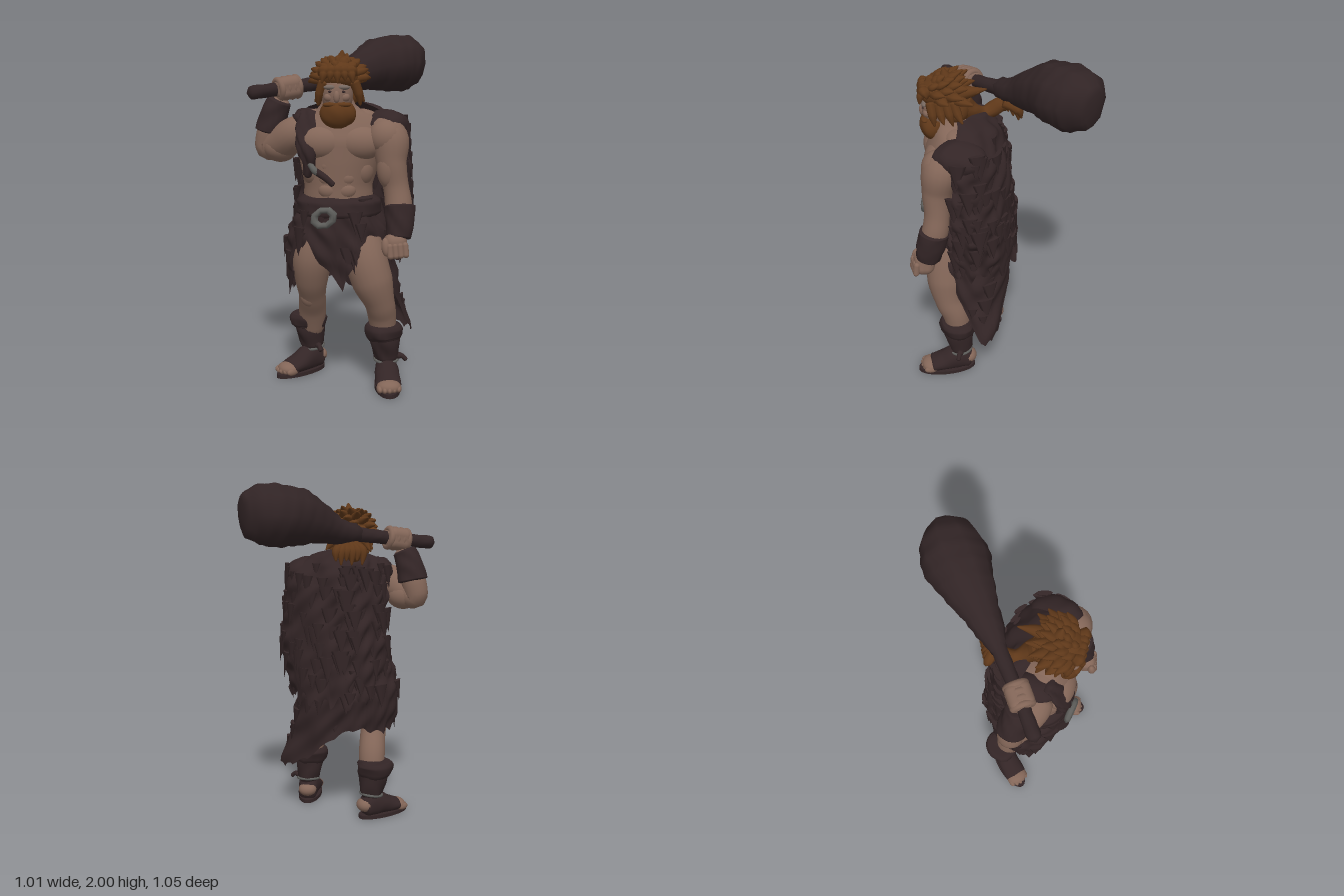
import * as THREE from 'three';
import { mergeGeometries, mergeVertices } from 'three/addons/utils/BufferGeometryUtils.js';
import { ParametricGeometry } from 'three/addons/geometries/ParametricGeometry.js';
import { RoundedBoxGeometry } from 'three/addons/geometries/RoundedBoxGeometry.js';

const V = (x, y, z) => new THREE.Vector3(x, y, z);
const TAU = Math.PI * 2;

export function createModel() {
  const model = new THREE.Group();
  const paint = (name, color, side = THREE.FrontSide) => {
    const m = new THREE.MeshStandardMaterial({ color, side });
    m.name = name;
    return m;
  };
  const skin = paint('skin', 0x836658);
  const ashen = paint('ashen skin', 0x74665e);
  const hide = paint('dark hide', 0x332526, THREE.DoubleSide);
  const wood = paint('dark wood', 0x312425);
  const hair = paint('ginger hair', 0x5f3819);
  const metal = paint('dull metal', 0x5e5e5b);

  let seed = 7;
  const rnd = () => (seed = (seed * 16807) % 2147483647) / 2147483647;
  const noise = p => Math.sin(p.x * 31 + p.y * 17) * Math.sin(p.y * 27 + p.z * 21)
    + 0.5 * Math.sin(p.x * 57 - p.z * 49 + p.y * 43);

  function add(name, geo, mat, parent = model) {
    const m = new THREE.Mesh(geo, mat);
    m.name = name;
    parent.add(m);
    return m;
  }
  function smooth(fn, nu, nv) {
    const g = new ParametricGeometry(fn, nu, nv);
    g.deleteAttribute('uv');
    g.deleteAttribute('normal');
    const w = mergeVertices(g);
    w.computeVertexNormals();
    return w;
  }
  function ball(name, mat, [x, y, z], [a, b, c], parent = model, rough = 0) {
    return add(name, smooth((u, v, t) => {
      const s = Math.sin(v * Math.PI);
      t.set(Math.sin(u * TAU) * s, -Math.cos(v * Math.PI), Math.cos(u * TAU) * s);
      t.set(x + a * t.x, y + b * t.y, z + c * t.z);
      t.addScaledVector(V(t.x - x, t.y - y, t.z - z).normalize(), rough * s * noise(t));
    }, 24, 16), mat, parent);
  }
  // Rounded tube through points [x, y, z, radius, second radius]
  function limb(name, mat, pts, parent = model, rough = 0, sides = 20, ref = V(0, 0, 1)) {
    const path = new THREE.CatmullRomCurve3(pts.map(p => V(p[0], p[1], p[2])));
    const radii = new THREE.CatmullRomCurve3(pts.map(p => V(p[3], p[4] ?? p[3], 0)));
    return add(name, smooth((u, v, t) => {
      const T = path.getTangent(v), N = ref.clone().cross(T).normalize(), B = T.clone().cross(N);
      const r = radii.getPoint(v), e = Math.min(v, 1 - v) / 0.06;
      const cap = e < 1 ? Math.sqrt(Math.max(0, 1 - (1 - e) ** 2)) : 1;
      path.getPoint(v, t);
      const k = rough * noise(V(t.x + Math.cos(u * TAU) * 0.1, t.y + Math.sin(u * TAU) * 0.1, t.z));
      t.addScaledVector(N, Math.cos(u * TAU) * (r.x + k) * cap);
      t.addScaledVector(B, Math.sin(u * TAU) * (r.y + k) * cap);
    }, sides, 34), mat, parent);
  }
  // Linear lookup in rows sorted by their first value
  function lookup(rows, key) {
    let i = 0;
    while (i < rows.length - 2 && key > rows[i + 1][0]) i++;
    const [p, q] = [rows[i], rows[i + 1]];
    const k = THREE.MathUtils.clamp((key - p[0]) / (q[0] - p[0]), 0, 1);
    return p.map((n, j) => n + (q[j] - n) * k);
  }
  // Draped wall: rows [y, centre x, centre z, radius x, radius z], angle 0 at the front
  const drape = (rows, a0, a1, hem, rough, skew = 0) => (u, v, t) => {
    const a = a0 + (a1 - a0) * u, top = rows[rows.length - 1][0], low = hem(a);
    const y = low + (top - low) * v;
    const [, cx, cz, rx, rz] = lookup(rows, y);
    t.set(cx + rx * Math.sin(a), y, cz + (rz + skew * Math.sin(a)) * Math.cos(a));
    const k = rough * noise(t);
    t.x += k * Math.sin(a);
    t.z += k * Math.cos(a);
  };
  function tufts(name, surface, a0, a1, count) {
    const list = [], p = V(0, 0, 0);
    for (let i = 0; i < count; i++) {
      const u = rnd(), v = 0.03 + rnd() * 0.85, size = 0.7 + rnd() * 0.7;
      surface(u, v, p);
      list.push(new THREE.ConeGeometry(0.04 * size, 0.11 * size, 8).scale(1, 1, 0.3)
        .rotateX(Math.PI - 0.1).rotateY(a0 + (a1 - a0) * u).translate(p.x, p.y, p.z));
    }
    add(name, mergeGeometries(list), hide);
  }

  // Torso
  const torsoRows = [[0.85, 0, 0.19, 0.17, 0.14], [1.0, 0, 0.21, 0.2, 0.17], [1.15, 0, 0.22, 0.19, 0.165],
    [1.28, 0.01, 0.22, 0.225, 0.175], [1.4, 0.02, 0.22, 0.26, 0.18], [1.47, 0.02, 0.215, 0.245, 0.16],
    [1.53, 0.02, 0.22, 0.19, 0.13], [1.58, 0, 0.25, 0.1, 0.09], [1.66, 0, 0.28, 0.07, 0.07]];
  add('torso', smooth(drape(torsoRows, 0, TAU, () => 0.85, 0), 40, 36), skin);
  for (const s of [-1, 1]) {
    ball('chestMuscle', skin, [0.02 + s * 0.1, 1.385, 0.325], [0.135, 0.095, 0.085]);
    ball('neckMuscle', skin, [0.01 + s * 0.1, 1.52, 0.23], [0.11, 0.05, 0.07]);
    ball('ribMuscle', skin, [s * 0.13, 1.24, 0.27], [0.07, 0.1, 0.09]);
    for (let i = 0; i < 3; i++) ball('abdominal', skin, [s * 0.046, 1.265 - i * 0.068, 0.345], [0.06, 0.05, 0.042]);
  }

  // Head, face and beard
  ball('head', skin, [0, 1.65, 0.32], [0.085, 0.12, 0.09]);
  ball('nose', skin, [0, 1.635, 0.405], [0.018, 0.032, 0.018]);
  ball('beard', hair, [0.005, 1.545, 0.35], [0.096, 0.085, 0.072], model, 0.004);
  for (const s of [-1, 1]) {
    ball('moustache', hair, [s * 0.035, 1.593, 0.393], [0.042, 0.014, 0.022]);
    ball('cheek', skin, [s * 0.04, 1.632, 0.378], [0.03, 0.025, 0.025]);
    ball('brow', ashen, [s * 0.035, 1.685, 0.391], [0.036, 0.014, 0.018]);
    ball('eye', hide, [s * 0.034, 1.662, 0.4], [0.013, 0.006, 0.004]);
  }

  // Shaggy hair: cap and curved locks swept outward and back
  ball('hairCap', hair, [0.01, 1.745, 0.295], [0.11, 0.085, 0.115], model, 0.006);
  ball('backHair', hair, [0.01, 1.65, 0.23], [0.095, 0.1, 0.085], model, 0.008);
  const lock = (a, e, len) => {
    const d = V(Math.sin(a) * Math.sin(e), Math.cos(e), Math.cos(a) * Math.sin(e));
    const p = V(0.01 + d.x * 0.08, 1.715 + d.y * 0.09, 0.295 + d.z * 0.085);
    const q = p.clone().addScaledVector(d, 0.03).add(V(d.x * len * 0.35, 0.005, -len * 0.25));
    const r = q.clone().add(V(d.x * len * 0.45, d.y * len * 0.4 - 0.01, -len * 0.4 + d.z * 0.02));
    limb('hairLock', hair, [[...p, 0.036, 0.024], [...q, 0.03, 0.02], [...r, 0.003]], model, 0, 8, V(0.3, 1, 0.1));
  };
  for (let i = 0; i < 40; i++) {
    const a = i * 2.4, e = Math.PI * (0.08 + 0.46 * (i / 40));
    if (Math.cos(a) * Math.sin(e) < 0.6 || Math.cos(e) > 0.5) lock(a, e, 0.06 + rnd() * 0.06);
  }
  limb('crest', hair, [[0.02, 1.77, 0.27, 0.05], [0.02, 1.83, 0.275, 0.035], [0.025, 1.885, 0.285, 0.004]], model, 0, 10);
  limb('backSpike', hair, [[0.04, 1.74, 0.21, 0.045], [0.045, 1.75, 0.14, 0.03], [0.04, 1.76, 0.05, 0.003]], model, 0, 10, V(0, 1, 0));
  for (let i = 0; i < 5; i++) {
    const x = -0.06 + i * 0.032;
    limb('fringe', hair, [[x, 1.775, 0.36, 0.024], [x * 1.15, 1.755, 0.405, 0.024],
      [x * 1.3, 1.705 + (i % 2) * 0.015, 0.418, 0.004]], model, 0, 8);
  }
  for (const s of [-1, 1]) {
    for (let i = 0; i < 4; i++) {
      limb('sideLock', hair, [[0.01 + s * 0.08, 1.72, 0.36 - i * 0.04, 0.028], [0.01 + s * 0.105, 1.65, 0.35 - i * 0.045, 0.024],
        [0.01 + s * (0.115 + 0.02 * (i % 2)), 1.585 + (i % 2) * 0.02, 0.34 - i * 0.05, 0.004]], model, 0, 8);
    }
  }

  // Mane tucked in the collar, with a ragged tail under the club
  limb('mane', hair, [[0, 1.66, 0.21, 0.085], [-0.01, 1.61, 0.15, 0.06], [-0.05, 1.575, 0.06, 0.04],
    [-0.06, 1.62, -0.04, 0.045], [-0.05, 1.61, -0.08, 0.03]], model, 0.004, 16, V(0, 1, 0.2));
  for (let i = 0; i < 6; i++) {
    const x = -0.12 + i * 0.028, z = -0.06 - i * 0.012;
    limb('maneLock', hair, [[-0.06 + i * 0.01, 1.655, -0.04, 0.032], [x, 1.62, z, 0.027],
      [x, 1.54 + (i % 2) * 0.025, z - 0.02, 0.004]], model, 0, 8);
  }

  // Left arm hangs down
  limb('leftArm', skin, [[0.2, 1.47, 0.25, 0.07], [0.28, 1.41, 0.315, 0.105], [0.295, 1.28, 0.345, 0.082],
    [0.32, 1.15, 0.35, 0.07], [0.335, 1.05, 0.365, 0.074], [0.335, 0.87, 0.42, 0.05]]);
  ball('leftShoulder', skin, [0.265, 1.415, 0.33], [0.1, 0.1, 0.095]);
  ball('leftBiceps', skin, [0.28, 1.25, 0.365], [0.065, 0.11, 0.06]);
  limb('leftBracer', hide, [[0.34, 1.06, 0.37, 0.084], [0.342, 0.97, 0.39, 0.08], [0.335, 0.87, 0.415, 0.068]], model, 0.004);
  const leftFist = new THREE.Group();
  leftFist.name = 'leftFist';
  leftFist.position.set(0.318, 0.84, 0.435);
  leftFist.rotation.set(-0.15, 0.2, 0.1);
  model.add(leftFist);
  add('palm', new RoundedBoxGeometry(0.125, 0.14, 0.12, 5, 0.05), skin, leftFist);
  for (let i = 0; i < 4; i++) {
    const f = add('finger', new THREE.CapsuleGeometry(0.018, 0.05, 4, 10), skin, leftFist);
    f.position.set(-0.042 + i * 0.028, -0.025, 0.05);
  }
  ball('thumb', skin, [-0.06, 0.0, 0.035], [0.024, 0.05, 0.024], leftFist);

  // Right arm is raised and grips the club
  limb('rightArm', skin, [[-0.17, 1.45, 0.23, 0.085], [-0.25, 1.42, 0.21, 0.1], [-0.33, 1.37, 0.17, 0.09],
    [-0.405, 1.345, 0.13, 0.07], [-0.395, 1.42, 0.13, 0.075], [-0.365, 1.5, 0.14, 0.068], [-0.315, 1.64, 0.15, 0.05]],
    model, 0, 20, V(0.2, 0.1, 1));
  ball('rightUpperArm', skin, [-0.33, 1.35, 0.165], [0.1, 0.085, 0.09]);
  limb('rightBracer', hide, [[-0.39, 1.43, 0.13, 0.088], [-0.37, 1.52, 0.14, 0.08], [-0.33, 1.62, 0.15, 0.066]], model, 0.004);
  const rightFist = new THREE.Group();
  rightFist.name = 'rightFist';
  rightFist.position.set(-0.29, 1.68, 0.142);
  rightFist.lookAt(0, 1.73, -0.05);
  model.add(rightFist);
  add('palm', new RoundedBoxGeometry(0.135, 0.13, 0.155, 5, 0.045), skin, rightFist);
  for (let i = 0; i < 4; i++) {
    add('finger', new THREE.TorusGeometry(0.052, 0.019, 10, 18), skin, rightFist).position.z = -0.054 + i * 0.036;
  }

  // Club over the shoulder
  limb('clubHandle', wood, [[-0.5, 1.652, 0.28, 0.04], [-0.3, 1.68, 0.145, 0.037],
    [-0.1, 1.71, 0.0, 0.042], [0.03, 1.735, -0.09, 0.06]], model, 0.002, 12, V(0, 1, 0));
  limb('clubHead', wood, [[-0.12, 1.705, 0.01, 0.042], [0.02, 1.735, -0.095, 0.08, 0.075], [0.13, 1.785, -0.195, 0.125, 0.125],
    [0.23, 1.815, -0.28, 0.165, 0.165], [0.315, 1.828, -0.345, 0.18, 0.175], [0.38, 1.83, -0.39, 0.165, 0.168],
    [0.435, 1.825, -0.425, 0.12, 0.14], [0.475, 1.82, -0.455, 0.06, 0.1]],
    model, 0.007, 10, V(0, 1, 0));

  // Fur cloak over the back
  const cloakRows = [[0.7, 0.06, 0.17, 0.29, 0.295], [0.85, 0.06, 0.18, 0.31, 0.295], [1.0, 0.07, 0.18, 0.34, 0.28],
    [1.2, 0.07, 0.18, 0.345, 0.26], [1.4, 0.06, 0.18, 0.335, 0.235], [1.48, 0.05, 0.18, 0.31, 0.21],
    [1.54, 0.03, 0.18, 0.26, 0.18], [1.59, 0.02, 0.19, 0.18, 0.13], [1.61, 0.02, 0.2, 0.1, 0.08]];
  const c0 = Math.PI * 0.37, c1 = Math.PI * 1.38;
  const cloak = drape(cloakRows, c0, c1, a => 0.7 + 0.06 * Math.abs(Math.sin(a * 8)) + 0.02 * Math.sin(a * 23), 0.014, -0.04);
  add('cloak', smooth(cloak, 80, 56), hide);
  tufts('cloakTufts', cloak, c0, c1, 110);

  // Shoulder furs and the strip across the chest
  ball('leftShoulderFur', hide, [0.27, 1.47, 0.22], [0.125, 0.095, 0.15], model, 0.012);
  ball('rightShoulderFur', hide, [-0.17, 1.49, 0.18], [0.1, 0.08, 0.14], model, 0.01);
  limb('chestFur', hide, [[-0.13, 1.55, 0.25, 0.07, 0.035], [-0.165, 1.46, 0.325, 0.065, 0.03],
    [-0.16, 1.36, 0.375, 0.055, 0.03], [-0.15, 1.26, 0.36, 0.035, 0.025], [-0.17, 1.2, 0.335, 0.02]], model, 0.008);
  limb('toggle', metal, [[-0.15, 1.28, 0.385, 0.014], [-0.12, 1.24, 0.395, 0.018], [-0.1, 1.22, 0.395, 0.012]], model, 0, 10);
  limb('hangingStrap', hide, [[-0.12, 1.24, 0.39, 0.02], [-0.06, 1.2, 0.395, 0.018], [-0.015, 1.16, 0.395, 0.016]], model, 0, 10);

  // Ragged hide skirt with a long tail behind the left leg
  const hemKeys = [[0, 0.57], [0.3, 0.7], [0.55, 0.82], [0.9, 0.74], [1.1, 0.55], [1.3, 0.4], [1.55, 0.26], [2.3, 0.28],
    [2.75, 0.34], [3.14, 0.5], [3.5, 0.55], [4.0, 0.52], [4.7, 0.52], [5.1, 0.54], [5.35, 0.76], [5.7, 0.83], [6.0, 0.7], [6.29, 0.57]];
  const skirtRows = [[0.26, 0.16, 0.12, 0.27, 0.13], [0.5, 0.045, 0.15, 0.31, 0.21], [0.75, 0, 0.165, 0.31, 0.25],
    [0.9, -0.005, 0.185, 0.28, 0.23], [1.05, 0, 0.21, 0.215, 0.185]];
  const skirt = drape(skirtRows, 0, TAU, a => lookup(hemKeys, a)[1] + 0.03 * Math.abs(Math.sin(a * 9)), 0.012);
  add('skirt', smooth(skirt, 96, 28), hide);
  tufts('skirtTufts', skirt, 0, TAU, 45);

  // Belt and ring buckle
  const beltRows = [[0.97, 0, 0.21, 0.22, 0.185], [0.99, 0, 0.21, 0.24, 0.205], [1.06, 0, 0.21, 0.24, 0.2], [1.095, 0, 0.21, 0.2, 0.165]];
  add('belt', smooth(drape(beltRows, 0, TAU, () => 0.97, 0.005), 48, 12), hide);
  const buckle = add('buckle', new THREE.TorusGeometry(0.048, 0.019, 8, 8), metal);
  buckle.position.set(-0.07, 0.985, 0.415);
  buckle.rotation.set(0, -0.2, Math.PI / 8);
  buckle.scale.set(1.2, 0.9, 1);

  // Legs and boots
  limb('leftLeg', skin, [[0.11, 0.92, 0.22, 0.11], [0.155, 0.74, 0.295, 0.12], [0.195, 0.61, 0.31, 0.115],
    [0.235, 0.49, 0.3, 0.085], [0.25, 0.4, 0.265, 0.08], [0.26, 0.2, 0.24, 0.06]]);
  ball('leftKnee', skin, [0.235, 0.5, 0.34], [0.06, 0.075, 0.045]);
  limb('rightLeg', skin, [[-0.11, 0.92, 0.2, 0.11], [-0.145, 0.74, 0.22, 0.115], [-0.155, 0.6, 0.2, 0.095],
    [-0.155, 0.49, 0.15, 0.078], [-0.16, 0.38, 0.08, 0.08], [-0.165, 0.2, 0.03, 0.06]]);
  ball('rightKnee', skin, [-0.165, 0.5, 0.185], [0.06, 0.075, 0.045]);
  function boot(name, x, z, turn, shift) {
    const g = new THREE.Group();
    g.name = name;
    g.position.set(x, 0, z);
    g.rotation.y = turn;
    model.add(g);
    const [sx, sz] = shift;
    limb('shaft', hide, [[sx, 0.36, sz, 0.092], [sx * 0.6, 0.26, sz * 0.6, 0.086], [0, 0.15, 0, 0.066], [0, 0.06, 0, 0.066]], g, 0.005);
    limb('cuff', hide, [[sx, 0.355, sz, 0.092], [sx, 0.325, sz, 0.108], [sx * 0.9, 0.285, sz * 0.9, 0.1], [sx * 0.8, 0.26, sz, 0.085]], g, 0.007);
    const strap = add('ankleStrap', new THREE.TorusGeometry(0.067, 0.008, 6, 20), metal, g);
    strap.position.set(0, 0.145, 0);
    strap.rotation.x = Math.PI / 2 + 0.15;
    limb('strapEnd', hide, [[0.05, 0.15, 0, 0.014], [0.085, 0.165, 0.02, 0.014], [0.115, 0.14, 0.03, 0.012]], g, 0, 8);
    limb('foot', hide, [[0, 0.06, -0.065, 0.058, 0.055], [0, 0.08, 0.02, 0.066, 0.08],
      [0, 0.06, 0.11, 0.07, 0.055], [0, 0.045, 0.19, 0.07, 0.038]], g, 0.002, 20, V(0, 1, 0));
    ball('heel', skin, [0, 0.082, -0.045], [0.057, 0.043, 0.05], g);
    ball('toeBase', skin, [0, 0.044, 0.188], [0.068, 0.038, 0.055], g);
    for (let i = 0; i < 5; i++) {
      ball('toe', skin, [-0.052 + i * 0.026, 0.036, 0.215 - Math.abs(i - 1.5) * 0.009], [0.018, 0.022, 0.04], g);
    }
    const outline = new THREE.Shape();
    outline.absellipse(0, -0.09, 0.072, 0.174, 0, TAU);
    add('sole', new THREE.ExtrudeGeometry(outline, { depth: 0.022, bevelEnabled: false, curveSegments: 20 })
      .rotateX(-Math.PI / 2), hide, g);
  }
  boot('leftBoot', 0.275, 0.24, 0.08, [-0.015, 0.015]);
  boot('rightBoot', -0.165, 0.025, -0.8, [-0.01, 0.02]);
  return model;
}
